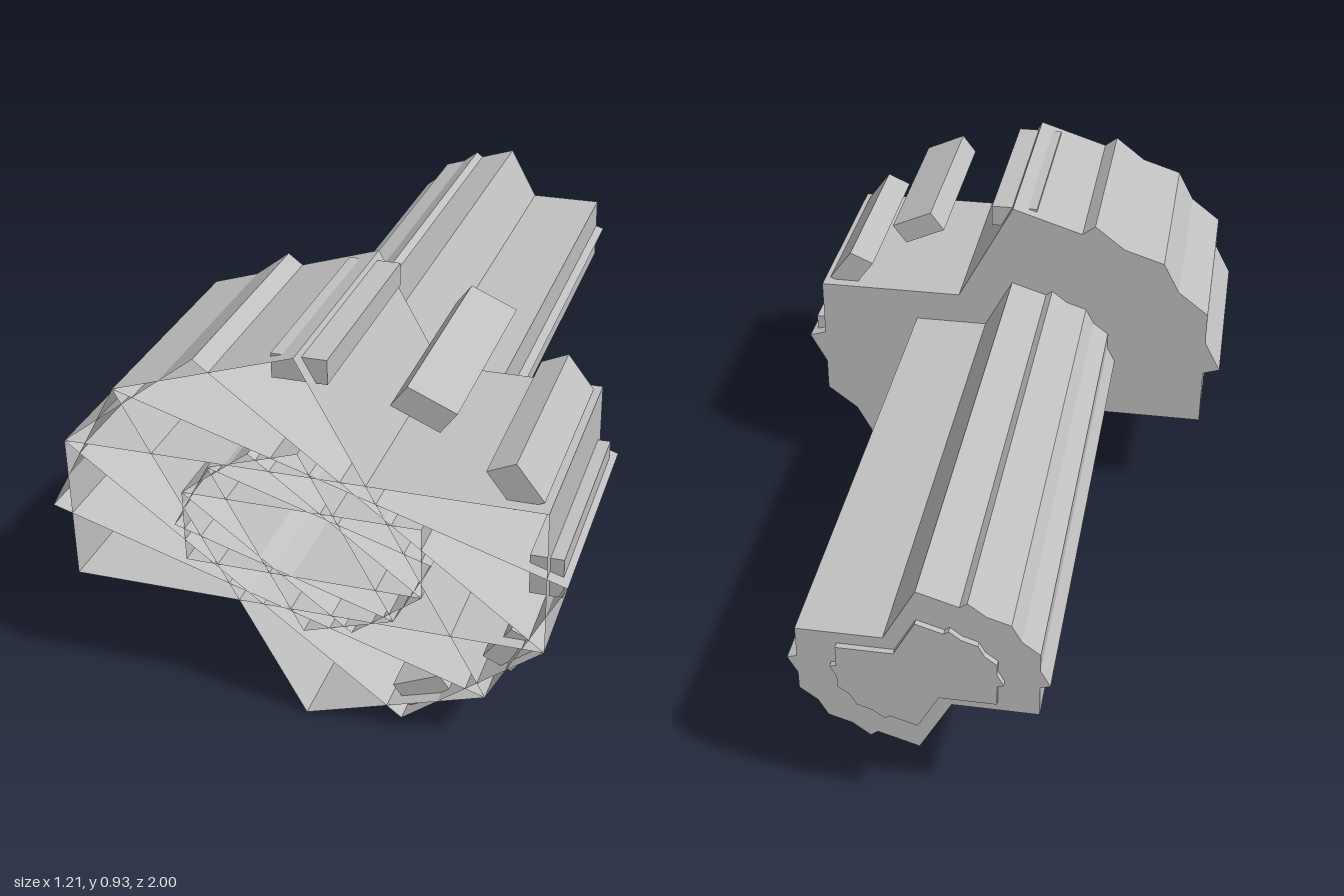
import * as THREE from 'three';

const RX = 0.605, RY = 0.465; // half width and half height of the oval head

export function createModel() {
  const model = new THREE.Group();
  const metal = new THREE.MeshStandardMaterial({ color: 0xc0c0c0, side: THREE.DoubleSide });
  metal.name = 'lightGrey';

  const add = (geometry, name, parent) => {
    const mesh = new THREE.Mesh(geometry, metal);
    mesh.name = name;
    parent.add(mesh);
  };

  // Four crossed slabs, open at the front, squashed to an oval
  const crossedSlabs = (name, size, zBack, zFront) => {
    const group = new THREE.Group();
    group.name = name;
    for (const degrees of [180, 157.5, 135, 112.5]) {
      const slab = new THREE.BoxGeometry(
        2 * Math.cos(Math.PI / 8), 2 * Math.sin(Math.PI / 8), zFront - zBack);
      // leave out the front face
      const index = Array.from(slab.index.array).filter((_, i) => i < 24 || i >= 30);
      slab.setIndex(index);
      slab.clearGroups();
      slab.rotateZ(THREE.MathUtils.degToRad(degrees));
      slab.scale(RX * size, RY * size, 1);
      slab.translate(0, RY, (zBack + zFront) / 2);
      add(slab, name + 'Slab', group);
    }
    model.add(group);
  };
  crossedSlabs('head', 1, 0.405, 1);
  crossedSlabs('shaft', 0.5, -0.985, 1);
  crossedSlabs('shaftTip', 0.33, -1, -0.98);

  // Grip bars along one side of the head
  const grips = new THREE.Group();
  grips.name = 'gripBars';
  for (let degrees = -60; degrees <= 90; degrees += 30) {
    const bar = new THREE.BoxGeometry(0.125, 0.21, 0.53);
    bar.translate(0.912, 0, 0);
    bar.rotateZ(THREE.MathUtils.degToRad(degrees));
    bar.scale(RX, RY, 1);
    bar.translate(0, RY, 0.702);
    add(bar, 'gripBar', grips);
  }
  model.add(grips);

  return model;
}
